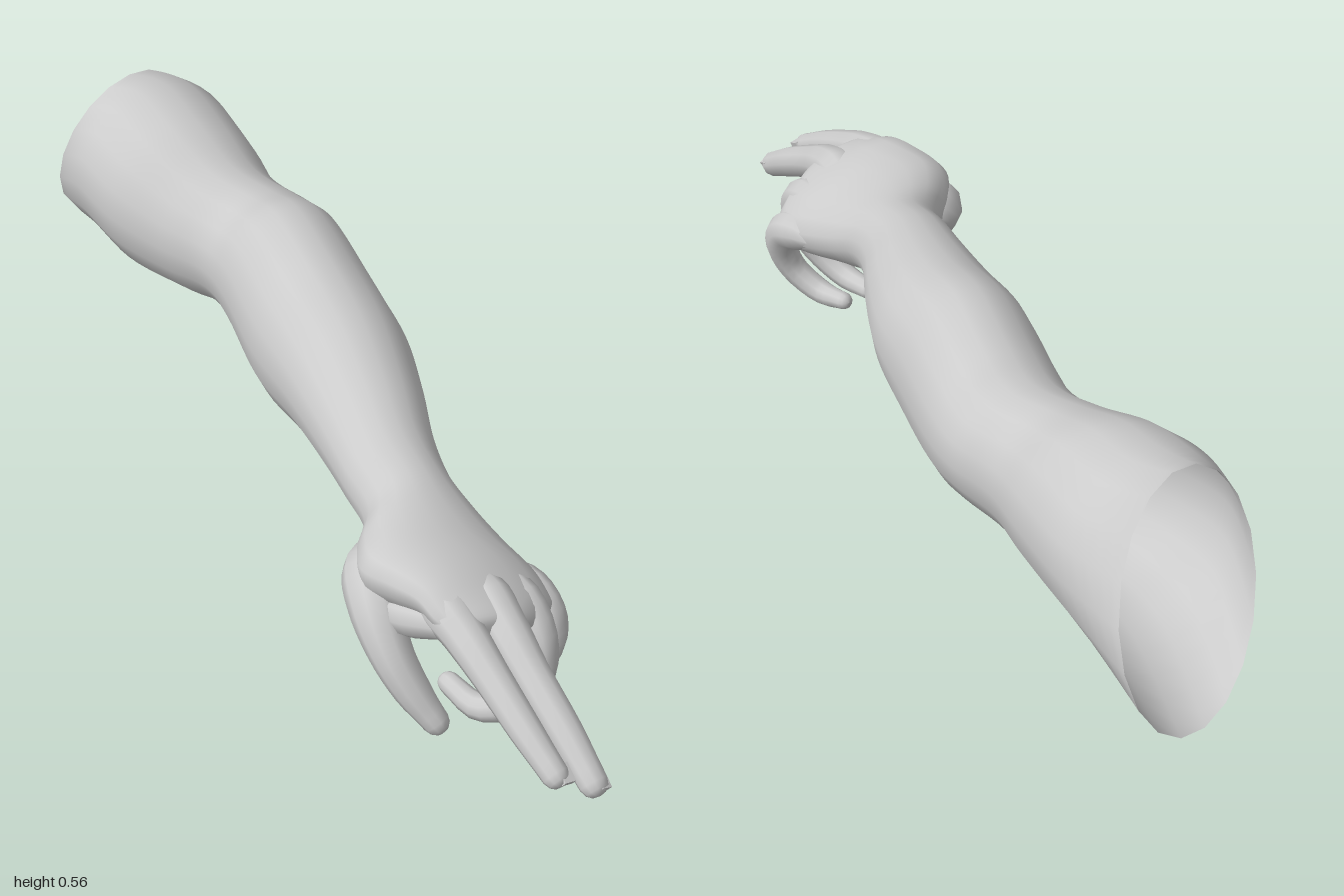
import * as THREE from 'three';

const material = new THREE.MeshStandardMaterial({ color: 0xcccccc, side: THREE.DoubleSide });

// Skin a list of closed rings (arrays of Vector3) into one smooth surface.
function loft(rings) {
  const n = rings[0].length;
  const index = [];
  for (let r = 0; r < rings.length - 1; r++) {
    for (let i = 0; i < n; i++) {
      const j = (i + 1) % n;
      const a = r * n + i, b = r * n + j, c = a + n, d = b + n;
      index.push(a, b, d, a, d, c);
    }
  }
  const geometry = new THREE.BufferGeometry().setFromPoints(rings.flat());
  geometry.setIndex(index);
  geometry.computeVertexNormals();
  return geometry;
}

// Catmull-Rom blend between rows of numbers.
function sampleRows(rows, t) {
  const f = t * (rows.length - 1);
  const i = Math.min(Math.floor(f), rows.length - 2);
  const u = f - i;
  const row = k => rows[Math.max(0, Math.min(rows.length - 1, k))];
  return rows[0].map((_, c) => {
    const [p0, p1, p2, p3] = [row(i - 1)[c], row(i)[c], row(i + 1)[c], row(i + 2)[c]];
    return p1 + 0.5 * u * (p2 - p0 + u * (2 * p0 - 5 * p1 + 4 * p2 - p3 + u * (3 * (p1 - p2) + p3 - p0)));
  });
}

// Elliptical sections: z, centre x, centre y, half width, half height, roll, slant.
function limb(sections, steps, sides) {
  const rings = [];
  for (let s = 0; s <= steps; s++) {
    const [z, cx, cy, rx, ry, roll, slant] = sampleRows(sections, s / steps);
    const ring = [];
    for (let i = 0; i < sides; i++) {
      const a = (i / sides) * Math.PI * 2;
      const u = Math.cos(a) * rx, v = Math.sin(a) * ry;
      const x = u * Math.cos(roll) - v * Math.sin(roll);
      const y = u * Math.sin(roll) + v * Math.cos(roll);
      // the slanted cut runs down and towards +x
      ring.push(new THREE.Vector3(cx + x, cy + y, z + slant * (y - 0.8 * x)));
    }
    rings.push(ring);
  }
  return loft(rings);
}

// Tapered finger along a curve with a rounded tip; points are x, y, z, radius.
function finger(points, steps = 20, sides = 10) {
  const curve = new THREE.CatmullRomCurve3(points.map(p => new THREE.Vector3(p[0], p[1], p[2])));
  const rings = [];
  let normal = new THREE.Vector3(1, 0, 0);
  const addRing = (centre, tangent, radius) => {
    normal = normal.clone().addScaledVector(tangent, -normal.dot(tangent)).normalize();
    const side = tangent.clone().cross(normal);
    rings.push(Array.from({ length: sides }, (_, i) => {
      const a = (i / sides) * Math.PI * 2;
      return centre.clone()
        .addScaledVector(normal, Math.cos(a) * radius)
        .addScaledVector(side, Math.sin(a) * radius);
    }));
  };
  for (let s = 0; s <= steps; s++) {
    const t = s / steps;
    addRing(curve.getPoint(t), curve.getTangent(t), sampleRows(points, t)[3]);
  }
  const tip = curve.getPoint(1), dir = curve.getTangent(1), r = points.at(-1)[3];
  for (const [along, scale] of [[0.5, 0.82], [0.8, 0.5], [0.9, 0.01]]) {
    addRing(tip.clone().addScaledVector(dir, along * r), dir, r * scale);
  }
  return loft(rings);
}

export function createModel() {
  const group = new THREE.Group();
  const add = (name, geometry) => {
    const mesh = new THREE.Mesh(geometry, material);
    mesh.name = name;
    group.add(mesh);
    return mesh;
  };

  // Upper arm (open, slanted end), elbow, forearm, wrist and palm
  add('armAndPalm', limb([
    [-0.895, -0.018, 0.35, 0.152, 0.21, 0.15, 0.42],
    [-0.76, -0.003, 0.38, 0.176, 0.18, 0, 0.15],
    [-0.62, 0.008, 0.367, 0.168, 0.173, 0, 0],
    [-0.5, 0.032, 0.35, 0.14, 0.147, 0, 0],
    [-0.4, 0.07, 0.35, 0.134, 0.136, 0, 0],
    [-0.3, 0.074, 0.35, 0.136, 0.16, 0, 0],
    [-0.13, 0.053, 0.338, 0.138, 0.174, 0, 0],
    [0.02, 0.045, 0.333, 0.131, 0.143, 0, 0],
    [0.16, 0.022, 0.324, 0.114, 0.113, 0, 0],
    [0.28, -0.003, 0.312, 0.097, 0.092, 0, 0],
    [0.37, -0.012, 0.293, 0.094, 0.087, -0.12, 0],
    [0.44, -0.029, 0.277, 0.13, 0.088, -0.24, 0],
    [0.51, -0.032, 0.267, 0.16, 0.085, -0.33, 0],
    [0.58, -0.01, 0.262, 0.166, 0.073, -0.42, 0],
    [0.635, -0.002, 0.264, 0.152, 0.056, -0.45, 0],
    [0.68, -0.02, 0.271, 0.112, 0.043, -0.36, 0],
    [0.71, -0.03, 0.274, 0.07, 0.028, -0.32, 0],
    [0.715, -0.03, 0.274, 0.001, 0.001, -0.32, 0],
  ], 85, 18));

  // Thumb, two outstretched fingers and two curled ones; roots sink into the palm
  add('thumb', finger([
    [-0.07, 0.265, 0.41, 0.02],
    [-0.132, 0.267, 0.46, 0.054],
    [-0.16, 0.242, 0.522, 0.052],
    [-0.166, 0.186, 0.585, 0.041],
    [-0.147, 0.122, 0.635, 0.034],
    [-0.12, 0.068, 0.678, 0.025],
  ]));
  add('thumbWeb', finger([
    [-0.145, 0.225, 0.51, 0.03],
    [-0.125, 0.25, 0.58, 0.042],
    [-0.095, 0.28, 0.66, 0.032],
  ], 10));
  add('indexFinger', finger([
    [-0.085, 0.29, 0.54, 0.01],
    [-0.09, 0.297, 0.63, 0.042],
    [-0.084, 0.281, 0.7, 0.04],
    [-0.075, 0.246, 0.785, 0.034],
    [-0.062, 0.198, 0.88, 0.03],
    [-0.047, 0.153, 0.96, 0.025],
  ]));
  add('middleFinger', finger([
    [-0.005, 0.27, 0.54, 0.01],
    [-0.005, 0.285, 0.63, 0.043],
    [-0.004, 0.269, 0.7, 0.041],
    [0.001, 0.225, 0.79, 0.035],
    [0.013, 0.168, 0.89, 0.032],
    [0.022, 0.115, 0.974, 0.027],
  ]));
  add('ringFinger', finger([
    [0.05, 0.25, 0.53, 0.01],
    [0.062, 0.25, 0.62, 0.042],
    [0.071, 0.21, 0.688, 0.037],
    [0.064, 0.138, 0.712, 0.032],
    [0.03, 0.068, 0.695, 0.029],
    [-0.01, 0.025, 0.64, 0.026],
    [-0.032, 0.033, 0.565, 0.021],
  ]));
  add('littleFinger', finger([
    [0.09, 0.225, 0.48, 0.01],
    [0.112, 0.216, 0.57, 0.039],
    [0.126, 0.188, 0.622, 0.039],
    [0.128, 0.14, 0.643, 0.033],
    [0.106, 0.08, 0.635, 0.028],
    [0.066, 0.041, 0.588, 0.025],
    [0.042, 0.055, 0.52, 0.018],
  ]));

  // Fingernails lying on the outstretched fingers
  for (const [name, x, y, z, roll] of [
    ['indexNail', -0.034, 0.158, 0.968, -0.3],
    ['middleNail', 0.034, 0.122, 0.978, -0.5],
  ]) {
    const nail = add(name, new THREE.BoxGeometry(0.024, 0.012, 0.036));
    nail.position.set(x, y, z);
    nail.rotation.set(0.5, 0, roll);
  }
  return group;
}
